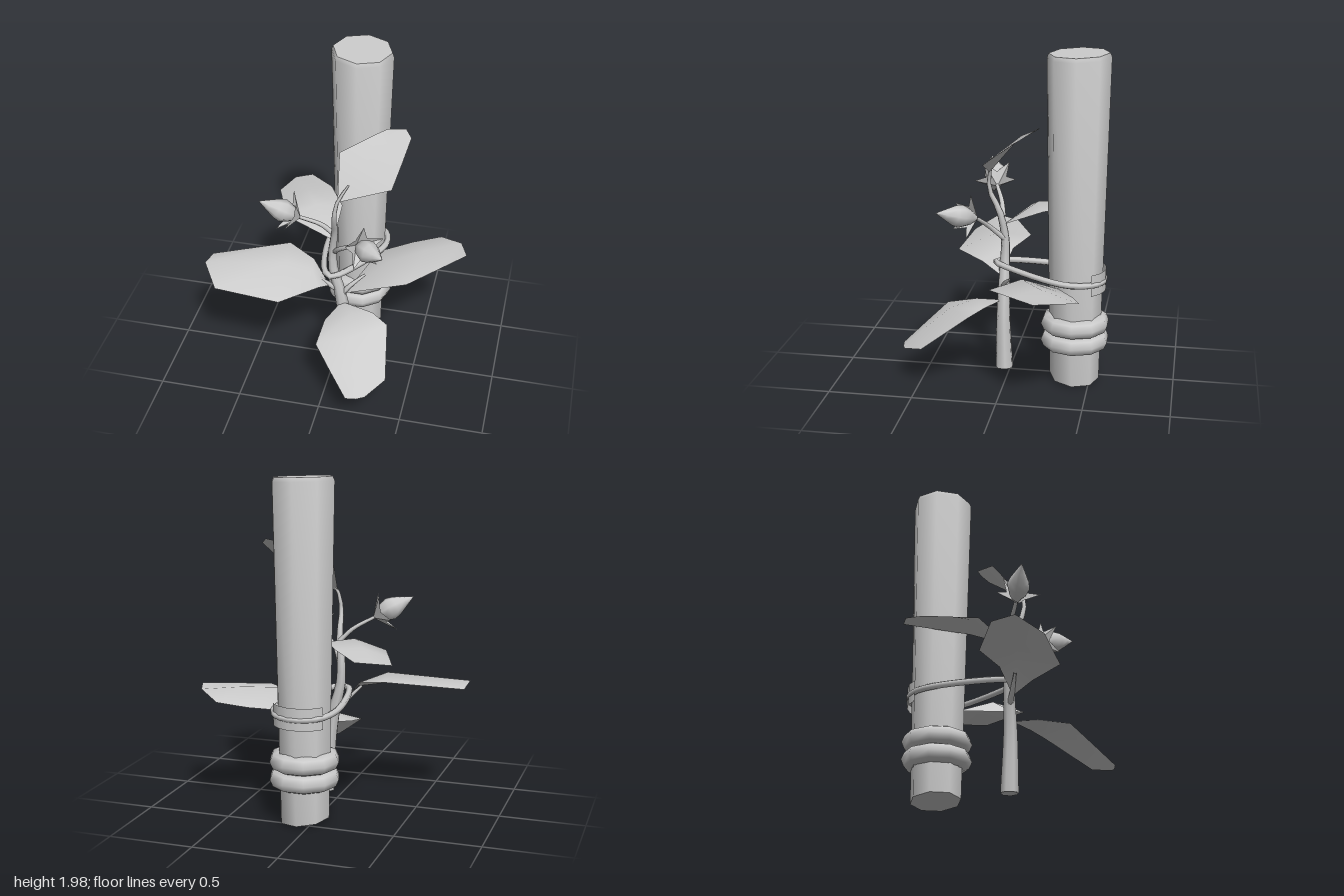
import * as THREE from 'three';
import { toCreasedNormals } from 'three/addons/utils/BufferGeometryUtils.js';

const grey = new THREE.MeshStandardMaterial({ color: 0xcccccc });
const thin = new THREE.MeshStandardMaterial({ color: 0xcccccc, side: THREE.DoubleSide });
const vec = (a) => new THREE.Vector3(...a);

export function createModel() {
  const model = new THREE.Group();
  const add = (name, geometry, material = grey, parent = model) => {
    const mesh = new THREE.Mesh(geometry, material);
    mesh.name = name;
    parent.add(mesh);
    return mesh;
  };

  // Tube along points, narrowing from r0 to r1
  const taperTube = (points, r0, r1, sides = 6, segs = 8) => {
    const curve = new THREE.CatmullRomCurve3(points.map(vec));
    const geo = new THREE.TubeGeometry(curve, segs, 1, sides);
    const pos = geo.attributes.position;
    const p = new THREE.Vector3();
    for (let i = 0; i < pos.count; i++) {
      const u = Math.floor(i / (sides + 1)) / segs;
      const c = curve.getPointAt(u);
      p.fromBufferAttribute(pos, i).sub(c).multiplyScalar(r0 + (r1 - r0) * u).add(c);
      pos.setXYZ(i, p.x, p.y, p.z);
    }
    return geo;
  };

  // Eight-sided post with worn top edge and skewed ends
  const profile = [[0, 0.03], [0.149, 0.03], [0.184, 1.965], [0.174, 1.99], [0, 1.99]];
  let post = new THREE.LatheGeometry(profile.map(([r, y]) => new THREE.Vector2(r, y)), 8);
  const pp = post.attributes.position;
  for (let i = 0; i < pp.count; i++) {
    const x = pp.getX(i), y = pp.getY(i), z = pp.getZ(i);
    pp.setY(i, y + (y < 1 ? -0.09 * x + 0.06 * z : -0.03 * x - 0.03 * z));
  }
  post = toCreasedNormals(post, 0.9);
  add('post', post).position.set(0.06, 0, -0.405);

  // Two rings wrapped round the post
  for (const y of [0.275, 0.38]) {
    const ring = add('postRing', new THREE.TorusGeometry(0.15, 0.057, 8, 10));
    ring.rotation.x = Math.PI / 2;
    ring.position.set(0.06, y, -0.405);
  }

  // Tie looped round the stem and post, with a band behind the post
  const loop = new THREE.CatmullRomCurve3([
    [-0.02, 0.7, 0.085], [-0.065, 0.7, 0.04], [-0.12, 0.67, -0.36], [-0.07, 0.66, -0.52],
    [0.06, 0.655, -0.575], [0.19, 0.66, -0.52], [0.24, 0.67, -0.36], [0.03, 0.7, 0.05],
  ].map(vec), true);
  add('tie', new THREE.TubeGeometry(loop, 32, 0.02, 6, true));
  const band = new THREE.CylinderGeometry(0.182, 0.182, 0.13, 5, 1, true, Math.PI - 0.95, 1.9);
  add('tieBand', band, thin).position.set(0.06, 0.66, -0.405);

  // Stem, capped at the foot
  add('stem', taperTube([
    [0.075, 0.06, 0.02], [0.05, 0.4, 0.03], [0.02, 0.58, 0.03], [-0.015, 0.72, 0.03], [-0.02, 0.85, 0.03],
    [0, 1.02, 0.06], [0.01, 1.16, 0.12], [0.025, 1.26, 0.115], [0.09, 1.38, 0.085],
  ], 0.054, 0.006, 7, 20));
  const foot = add('stemFoot', new THREE.CircleGeometry(0.053, 7));
  foot.rotation.x = Math.PI / 2;
  foot.position.set(0.075, 0.061, 0.02);

  // Short leaf stalks
  add('leafStalk', taperTube([[0.03, 0.52, 0.03], [0.09, 0.6, 0.02], [0.17, 0.66, -0.03]], 0.02, 0.008));
  add('leafStalk', taperTube([[0.02, 0.56, 0.03], [-0.05, 0.63, 0.06], [-0.13, 0.71, 0.09]], 0.02, 0.008));

  // Leaves: a base point, then rows of left edge, midrib and right edge
  const leaf = (name, base, rows) => {
    const geo = new THREE.BufferGeometry();
    const index = [0, 2, 1, 0, 3, 2];
    for (let r = 0; r < rows.length - 1; r++) {
      for (let c = 1; c < 3; c++) {
        const a = r * 3 + c, b = a + 3;
        index.push(a, a + 1, b, a + 1, b + 1, b);
      }
    }
    geo.setAttribute('position', new THREE.Float32BufferAttribute([base, ...rows.flat()].flat(), 3));
    geo.setIndex(index);
    geo.computeVertexNormals();
    add(name, geo, thin);
  };
  leaf('topLeaf', [0.03, 1.27, 0.115], [
    [[0, 1.49, -0.07], [0.15, 1.45, 0], [0.34, 1.39, 0.1]],
    [[0.2, 1.575, -0.19], [0.28, 1.54, -0.12], [0.375, 1.5, -0.04]],
    [[0.25, 1.595, -0.215], [0.36, 1.615, -0.21], [0.4, 1.585, -0.165]],
  ]);
  leaf('rightLeaf', [0.06, 0.55, 0.04], [
    [[0.2, 0.63, -0.32], [0.3, 0.715, -0.12], [0.44, 0.69, 0.05]],
    [[0.4, 0.66, -0.425], [0.5, 0.735, -0.25], [0.6, 0.715, -0.1]],
    [[0.57, 0.69, -0.48], [0.71, 0.735, -0.38], [0.76, 0.74, -0.25]],
  ]);
  leaf('leftLeaf', [-0.03, 0.61, 0.06], [
    [[-0.07, 0.68, 0.18], [-0.13, 0.735, 0.09], [-0.14, 0.75, 0]],
    [[-0.27, 0.68, 0.37], [-0.28, 0.795, 0.13], [-0.31, 0.785, -0.085]],
    [[-0.67, 0.69, 0.34], [-0.77, 0.765, 0.2], [-0.76, 0.74, 0.07]],
  ]);
  leaf('backLeaf', [-0.01, 0.94, 0.04], [
    [[-0.33, 0.98, -0.085], [-0.16, 1.05, -0.15], [-0.01, 1.03, -0.2]],
    [[-0.39, 0.97, -0.23], [-0.26, 1.035, -0.32], [-0.12, 1.03, -0.39]],
    [[-0.45, 0.96, -0.38], [-0.38, 0.99, -0.5], [-0.28, 1, -0.54]],
  ]);
  leaf('frontLeaf', [0.04, 0.48, 0.04], [
    [[-0.03, 0.45, 0.2], [0.13, 0.515, 0.18], [0.25, 0.495, 0.12]],
    [[-0.04, 0.415, 0.39], [0.17, 0.46, 0.33], [0.355, 0.475, 0.19]],
    [[0.07, 0.325, 0.5], [0.24, 0.335, 0.49], [0.4, 0.28, 0.46]],
    [[0.19, 0.23, 0.615], [0.25, 0.228, 0.605], [0.3, 0.235, 0.585]],
  ]);

  // Flower buds: stalk, pointed bud and a five-pointed cup of sepals
  const flower = (stalk, tip) => {
    const base = vec(stalk[stalk.length - 1]);
    const axis = vec(tip).sub(base);
    const length = axis.length();
    add('budStalk', taperTube(stalk, 0.016, 0.011));
    const group = new THREE.Group();
    group.name = 'flower';
    group.position.copy(base);
    group.quaternion.setFromUnitVectors(new THREE.Vector3(0, 1, 0), axis.normalize());
    model.add(group);
    const bud = [[0.012, 0], [0.05, 0.2], [0.068, 0.4], [0.058, 0.56], [0.03, 0.78], [0.001, 1]]
      .map(([r, t]) => new THREE.Vector2(r, t * length));
    add('bud', new THREE.LatheGeometry(bud, 8), grey, group);
    const pos = [0, -0.01, 0], index = [];
    for (let i = 0; i < 10; i++) {
      const a = i * Math.PI / 5, r = i % 2 ? 0.065 : 0.135;
      pos.push(r * Math.sin(a), i % 2 ? 0.05 : 0.085, r * Math.cos(a));
      index.push(0, 1 + (i + 1) % 10, 1 + i);
    }
    const sepals = new THREE.BufferGeometry();
    sepals.setAttribute('position', new THREE.Float32BufferAttribute(pos, 3));
    sepals.setIndex(index);
    add('sepals', toCreasedNormals(sepals, 0.5), thin, group);
  };
  flower([[-0.01, 0.99, 0.04], [-0.08, 1.06, 0.06], [-0.2, 1.13, 0.11]], [-0.42, 1.255, 0.18]);
  flower([[-0.01, 0.85, 0.03], [0.05, 0.94, 0.11], [0.16, 1.025, 0.17]], [0.345, 1.1, 0.37]);

  return model;
}
